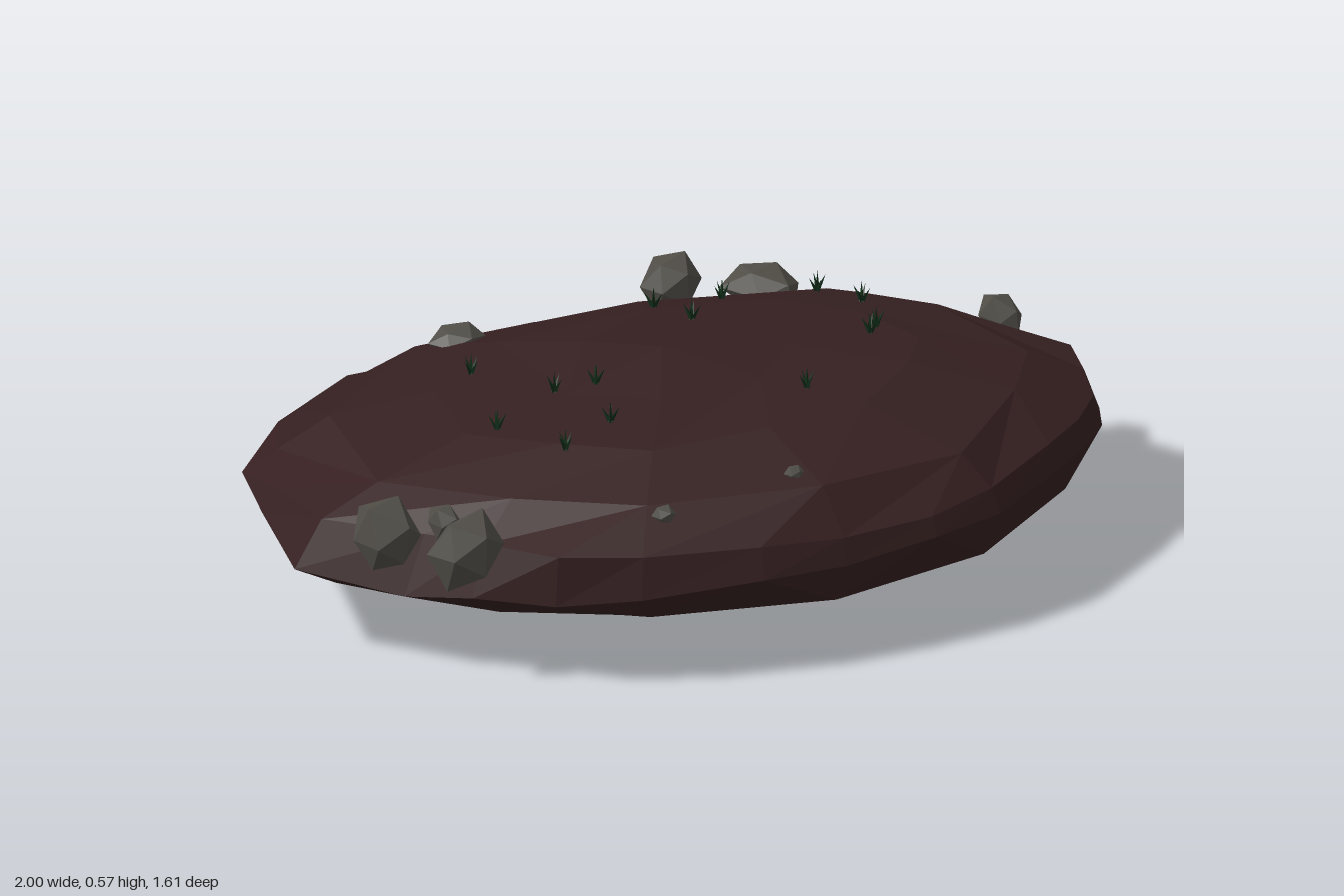
import * as THREE from 'three';
import { mergeVertices } from 'three/addons/utils/BufferGeometryUtils.js';

// Widest outline of the mound, as x, z pairs
const OUTLINE = [
  [-0.27, -0.81], [0.2, -0.67], [0.42, -0.55], [0.74, -0.32], [0.87, -0.2], [0.94, 0],
  [0.98, 0.17], [1, 0.4], [0.93, 0.52], [0.86, 0.6], [0.73, 0.68], [0.58, 0.73],
  [0.32, 0.8], [0.13, 0.78], [-0.1, 0.71], [-0.3, 0.63], [-0.55, 0.47], [-0.7, 0.33],
  [-0.8, 0.15], [-0.88, 0], [-1, -0.25], [-0.88, -0.48], [-0.78, -0.65], [-0.55, -0.76],
];
// Rings from underside to summit: scale, height, point count, rise to the front, rise to the back
const RINGS = [
  [0.42, 0.01, 6, 0.09, 0.09], [0.66, 0.07, 12, 0.07, 0.07], [0.87, 0.155, 12, 0.02, 0.03],
  [1, 0.215, 24, 0.09, 0.08], [0.94, 0.355, 24, -0.01, -0.05], [0.8, 0.425, 12, 0.02, -0.04],
  [0.54, 0.485, 12, 0.05, -0.02], [0.27, 0.525, 6, 0, 0],
];

function seeded(seed) {
  return () => {
    seed = (seed * 16807) % 2147483647;
    return seed / 2147483647 - 0.5;
  };
}

function moundGeometry() {
  const rand = seeded(421);
  const pos = [0, 0.003, 0];
  const index = [];
  const starts = [];
  RINGS.forEach(([s, y, n, front, back]) => {
    starts.push(pos.length / 3);
    for (let i = 0; i < n; i++) {
      const [x, z] = OUTLINE[(i * 24) / n];
      // the front is fuller than the back; only the rim keeps the exact outline
      const k = s === 1 ? 1 : Math.min(s * (1 + rand() * 0.07 + 0.09 * Math.max(z, 0)), 0.98);
      const px = x * k, pz = z * k;
      let py = y + Math.abs(pz) * (pz > 0 ? front : back) + rand() * 0.02;
      // shallow hollow in the top
      if (y > 0.4) py -= 0.045 * Math.exp(-((px + 0.42) ** 2 + (pz + 0.2) ** 2) / 0.02);
      pos.push(px, Math.max(py, 0), pz);
    }
  });
  const top = pos.length / 3;
  pos.push(0, 0.555, -0.02);

  // Stitch neighbouring rings, even when their counts differ
  for (let r = 0; r < RINGS.length - 1; r++) {
    const n = RINGS[r][2], m = RINGS[r + 1][2];
    const a = (i) => starts[r] + (i % n), b = (j) => starts[r + 1] + (j % m);
    let i = 0, j = 0;
    while (i < n || j < m) {
      if (j >= m || (i < n && (i + 1) / n <= (j + 1) / m)) {
        index.push(a(i), b(j), a(i + 1));
        i++;
      } else {
        index.push(a(i), b(j), b(j + 1));
        j++;
      }
    }
  }
  // Close the underside and the summit
  const last = RINGS.length - 1;
  for (let i = 0; i < 6; i++) {
    const j = (i + 1) % 6;
    index.push(0, starts[0] + i, starts[0] + j);
    index.push(top, starts[last] + j, starts[last] + i);
  }
  const g = new THREE.BufferGeometry();
  g.setAttribute('position', new THREE.Float32BufferAttribute(pos, 3));
  g.setIndex(index);
  const flat = g.toNonIndexed();
  flat.computeVertexNormals();
  return flat;
}

function rockGeometry(seed) {
  const rand = seeded(seed);
  let g = new THREE.IcosahedronGeometry(1, 0);
  g.deleteAttribute('normal');
  g.deleteAttribute('uv');
  g = mergeVertices(g);
  const p = g.attributes.position;
  for (let i = 0; i < p.count; i++) {
    const k = 1.08 + rand() * 0.35;
    p.setXYZ(i, p.getX(i) * k, p.getY(i) * k, p.getZ(i) * k);
  }
  g = g.toNonIndexed();
  g.computeVertexNormals();
  return g;
}

export function createModel() {
  const group = new THREE.Group();
  const material = (name, color) => {
    const m = new THREE.MeshStandardMaterial({ color, flatShading: true });
    m.name = name;
    return m;
  };
  const soil = material('dark soil', 0x362021);
  const stone = material('grey stone', 0x514e48);
  const grass = material('dark grass', 0x122e19);

  const mound = new THREE.Mesh(moundGeometry(), soil);
  mound.name = 'mound';
  group.add(mound);

  // Height of the mound's surface at a point
  const ray = new THREE.Raycaster();
  const down = new THREE.Vector3(0, -1, 0);
  mound.updateMatrixWorld();
  const heightAt = (x, z) => {
    ray.set(new THREE.Vector3(x, 2, z), down);
    return ray.intersectObject(mound)[0].point.y;
  };

  // Rocks: centre, then half sizes; the last three lie on the surface
  [
    [-0.92, 0.37, -0.03, 0.075, 0.09, 0.085],
    [-0.815, 0.365, 0.14, 0.092, 0.088, 0.074],
    [-0.8, 0.4, 0.05, 0.035, 0.04, 0.05],
    [0.5, 0.375, -0.49, 0.078, 0.075, 0.062],
    [0.62, 0.395, -0.3, 0.08, 0.052, 0.1],
    [0.91, 0.395, 0.21, 0.046, 0.058, 0.066],
    [-0.15, heightAt(-0.15, -0.56) + 0.005, -0.56, 0.062, 0.032, 0.05],
    [-0.43, heightAt(-0.43, 0.42), 0.42, 0.028, 0.022, 0.028],
    [-0.11, heightAt(-0.11, 0.54), 0.54, 0.023, 0.017, 0.02],
  ].forEach(([x, y, z, sx, sy, sz], i) => {
    const rock = new THREE.Mesh(rockGeometry(37 + i * 911), stone);
    rock.name = 'rock' + (i + 1);
    rock.position.set(x, y, z);
    rock.scale.set(sx, sy, sz);
    group.add(rock);
  });

  // Grass tufts: a straight blade ringed by leaning ones
  const blade = new THREE.ConeGeometry(0.007, 0.05, 3).translate(0, 0.023, 0);
  [
    [-0.31, -0.35], [0.25, -0.3], [0.44, -0.26], [0.22, -0.14], [0.64, -0.14],
    [0.64, 0.01], [-0.48, -0.09], [-0.28, -0.1], [-0.2, -0.04], [-0.45, 0.11],
    [-0.3, 0.11], [0.14, 0.33], [0.47, 0.21], [0.51, 0.19],
  ].forEach(([x, z], i) => {
    const tuft = new THREE.Group();
    tuft.name = 'grassTuft' + (i + 1);
    tuft.position.set(x, heightAt(x, z), z);
    for (let k = 0; k < 5; k++) {
      const b = new THREE.Mesh(blade, grass);
      b.name = 'grassBlade';
      b.rotation.order = 'YXZ';
      b.rotation.set(k ? 0.5 : 0, (k * Math.PI) / 2 + i * 0.7, 0);
      b.scale.y = k ? 0.95 : 1.15;
      tuft.add(b);
    }
    group.add(tuft);
  });
  return group;
}
